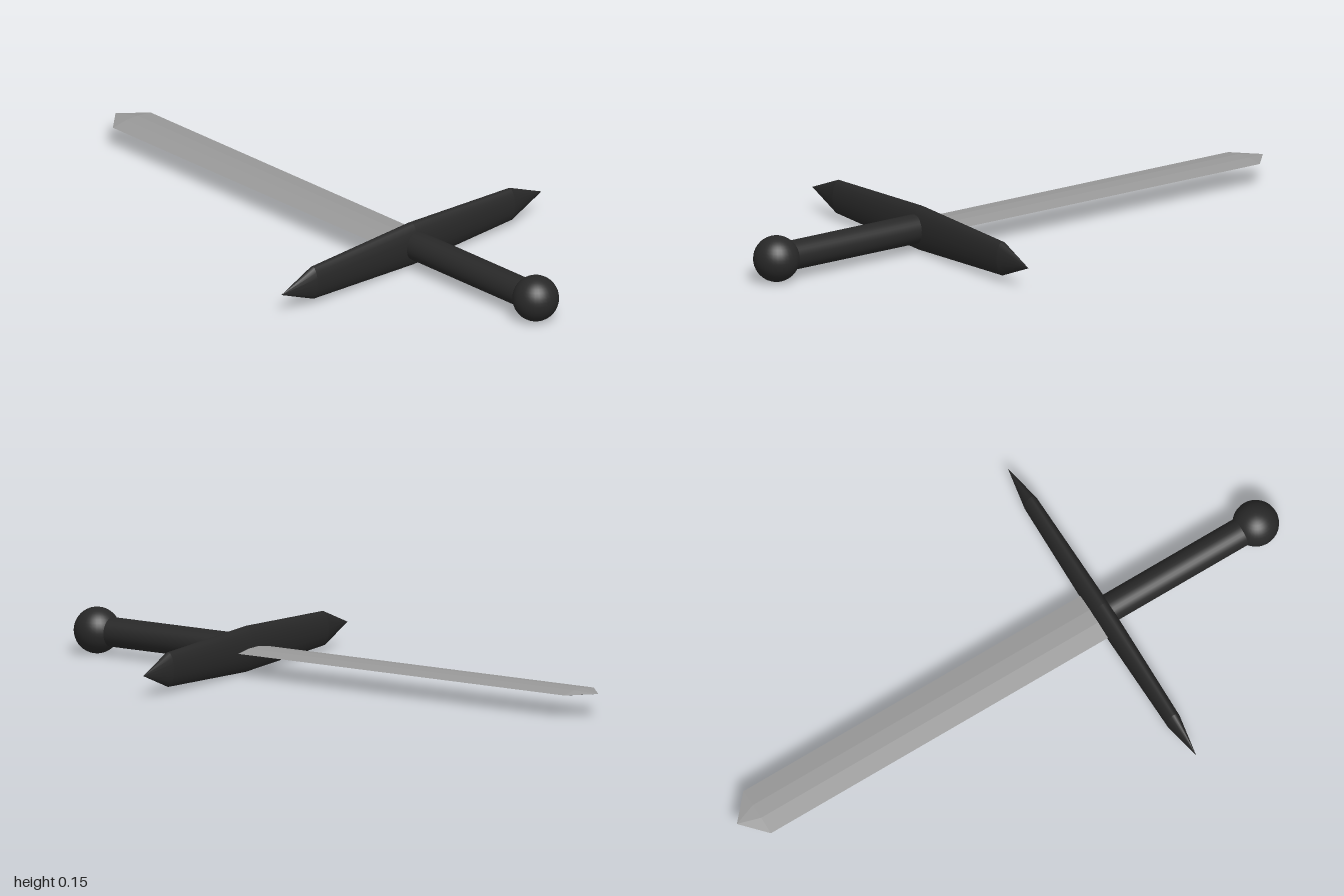
import * as THREE from 'three';

const CENTRE_Y = 0.075;
const dark = new THREE.MeshStandardMaterial({ color: 0x282828 });
const steel = new THREE.MeshStandardMaterial({ color: 0x999999, flatShading: true });

// Flat hexagonal cross-section drawn along x, closing to a point
function bladeGeometry(hilt, shoulder, tip) {
  const h = 0.008, w = 0.083, ridge = 0.025;
  const ring = [[h, -ridge], [h, ridge], [0, w], [-h, ridge], [-h, -ridge], [0, -w]];
  const pos = [];
  ring.forEach(([y, z], i) => {
    const [y2, z2] = ring[(i + 1) % ring.length];
    const a = [hilt, y, z], a2 = [hilt, y2, z2];
    const b = [shoulder, y, z], b2 = [shoulder, y2, z2];
    pos.push(...a, ...b, ...b2, ...a, ...b2, ...a2); // side
    pos.push(...b, tip, 0, 0, ...b2); // point
    pos.push(hilt, 0, 0, ...a, ...a2); // hilt end
  });
  const geo = new THREE.BufferGeometry();
  geo.setAttribute('position', new THREE.Float32BufferAttribute(pos, 3));
  geo.computeVertexNormals();
  return geo;
}

export function createModel() {
  const model = new THREE.Group();
  model.name = 'sword';
  const add = (name, geo, mat, x, parent = model) => {
    const mesh = new THREE.Mesh(geo, mat);
    mesh.name = name;
    mesh.position.set(x, CENTRE_Y, 0);
    parent.add(mesh);
    return mesh;
  };

  add('blade', bladeGeometry(0.36, -0.925, -1), steel, 0);

  // Handle and round pommel
  add('grip', new THREE.CylinderGeometry(0.047, 0.047, 0.56, 32).rotateZ(Math.PI / 2), dark, 0.64);
  add('pommel', new THREE.SphereGeometry(0.074, 32, 20), dark, 0.926);

  // Crossguard: each arm is a flattened taper ending in a spike
  const guard = new THREE.Group();
  guard.name = 'crossguard';
  model.add(guard);
  const arm = (r0, r1, z0, z1) =>
    new THREE.CylinderGeometry(r1, r0, z1 - z0, 16, 1, true)
      .rotateX(Math.PI / 2)
      .translate(0, 0, (z0 + z1) / 2)
      .scale(0.42, 1, 1);
  for (const turn of [0, Math.PI]) {
    add('guardArm', arm(0.074, 0.056, 0, 0.43), dark, 0.356, guard).rotation.y = turn;
    add('guardSpike', arm(0.056, 0, 0.43, 0.567), dark, 0.356, guard).rotation.y = turn;
  }
  return model;
}
